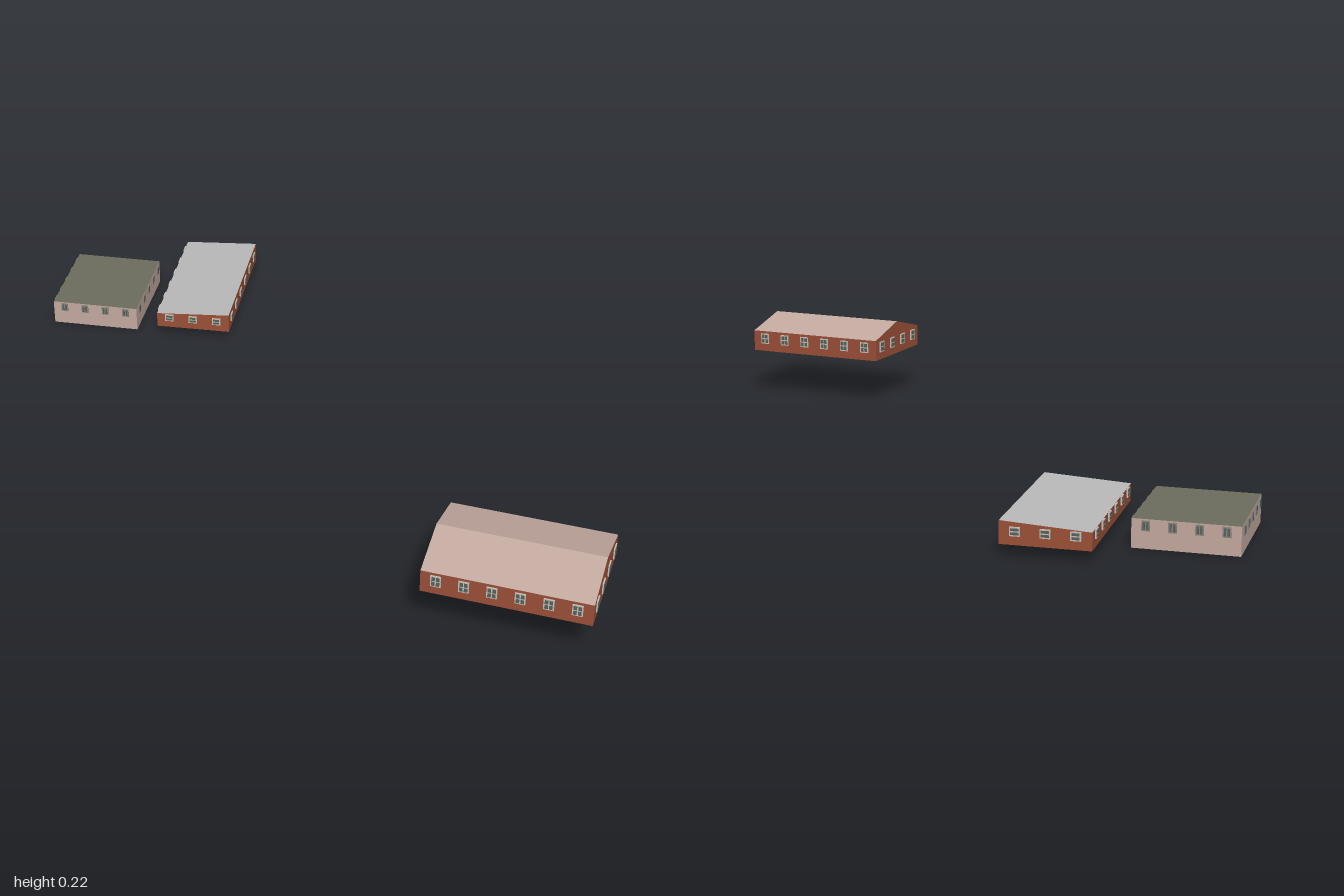
import * as THREE from 'three';

const mat = (name, color, side = THREE.FrontSide) => {
  const m = new THREE.MeshStandardMaterial({ color, side });
  m.name = name;
  return m;
};

export function createModel() {
  const D = THREE.DoubleSide;
  const brick = mat('red brick', 0x9c5038, D);
  const plaster = mat('pale plaster', 0xc4aaa0, D);
  const olive = mat('olive roofing', 0x6c6c5e, D);
  const grey = mat('grey roofing', 0xbababa, D);
  const clay = mat('dusty pink roofing', 0xc2a9a0, D);
  const frame = mat('window frame', 0xc9c2b6);
  const darkFrame = mat('weathered frame', 0x8f877d);
  const glass = mat('window glass', 0x56625f);

  const add = (parent, geo, material, name) => {
    const m = new THREE.Mesh(geo, material);
    m.name = name;
    parent.add(m);
    return m;
  };

  // framed window facing +z, divided into panes
  function makeWindow({ w, h, cols, rows, frameMat }) {
    const g = new THREE.Group();
    g.name = 'window';
    add(g, new THREE.BoxGeometry(w, h, 0.003), frameMat, 'windowFrame');
    const bar = 0.003;
    const pw = (w - bar * (cols + 1)) / cols, ph = (h - bar * (rows + 1)) / rows;
    for (let i = 0; i < cols; i++) for (let j = 0; j < rows; j++) {
      const pane = add(g, new THREE.BoxGeometry(pw, ph, 0.004), glass, 'pane');
      pane.position.set((i - (cols - 1) / 2) * (pw + bar), (j - (rows - 1) / 2) * (ph + bar), 0.0005);
    }
    return g;
  }

  // row of evenly spaced windows along a wall of the given length
  function windowRow(parent, count, length, y, spec) {
    for (let i = 0; i < count; i++) {
      const win = makeWindow(spec);
      win.position.set(((i + 0.5) / count - 0.5) * length * 0.98, y, 0.0015);
      parent.add(win);
    }
  }

  // open-bottomed house: profile lists [x, height] points across the roof
  function makeHouse(o) {
    const g = new THREE.Group();
    g.name = o.name;
    const { profile, length } = o;
    const first = profile[0], last = profile[profile.length - 1];
    const width = last[0] - first[0];

    // end walls follow the roof profile
    for (const s of [1, -1]) {
      const end = new THREE.Group();
      end.name = s > 0 ? 'frontEnd' : 'backEnd';
      end.position.z = s * length / 2;
      end.rotation.y = s > 0 ? 0 : Math.PI;
      const outline = [[first[0], 0], ...profile, [last[0], 0]];
      const shape = new THREE.Shape(outline.map(([x, y]) => new THREE.Vector2(x * s, y)));
      add(end, new THREE.ShapeGeometry(shape), o.wall, 'endWall');
      windowRow(end, o.endWindows, width, o.windowY, o.window);
      g.add(end);
    }

    // long side walls
    for (const [x, h] of [first, last]) {
      const side = new THREE.Group();
      side.name = x > 0 ? 'leftSide' : 'rightSide';
      side.position.x = x;
      side.rotation.y = Math.sign(x) * Math.PI / 2;
      add(side, new THREE.PlaneGeometry(length, h).translate(0, h / 2, 0), o.wall, 'sideWall');
      windowRow(side, o.sideWindows, length, o.windowY, o.window);
      g.add(side);
    }

    // one roof plane for each stretch of the profile
    for (let i = 0; i < profile.length - 1; i++) {
      const [x0, y0] = profile[i], [x1, y1] = profile[i + 1];
      const geo = new THREE.PlaneGeometry(Math.hypot(x1 - x0, y1 - y0), length).rotateX(-Math.PI / 2);
      const roof = add(g, geo, o.roof, 'roof');
      roof.rotation.z = Math.atan2(y1 - y0, x1 - x0);
      roof.position.set((x0 + x1) / 2, (y0 + y1) / 2, 0);
    }

    g.position.set(...o.position);
    g.rotation.y = THREE.MathUtils.degToRad(o.turn);
    return g;
  }

  const model = new THREE.Group();
  model.name = 'threeBuildings';

  model.add(makeHouse({
    name: 'flatRoofBuilding', position: [-0.447, 0, -0.808], turn: -20,
    profile: [[-0.122, 0.068], [0.122, 0.068]], length: 0.278,
    wall: plaster, roof: olive, endWindows: 4, sideWindows: 5, windowY: 0.053,
    window: { w: 0.019, h: 0.024, cols: 2, rows: 1, frameMat: darkFrame },
  }));

  model.add(makeHouse({
    name: 'leanToRoofBuilding', position: [-0.157, 0.025, -0.769], turn: -19.2,
    profile: [[-0.104, 0.042], [0.104, 0.054]], length: 0.419,
    wall: brick, roof: grey, endWindows: 3, sideWindows: 6, windowY: 0.031,
    window: { w: 0.024, h: 0.021, cols: 1, rows: 2, frameMat: frame },
  }));

  model.add(makeHouse({
    name: 'gableRoofBuilding', position: [0.3675, 0.123, 0.779], turn: 62,
    profile: [[-0.136, 0.059], [0, 0.094], [0.136, 0.059]], length: 0.402,
    wall: brick, roof: clay, endWindows: 4, sideWindows: 6, windowY: 0.037,
    window: { w: 0.025, h: 0.03, cols: 2, rows: 2, frameMat: frame },
  }));

  return model;
}
